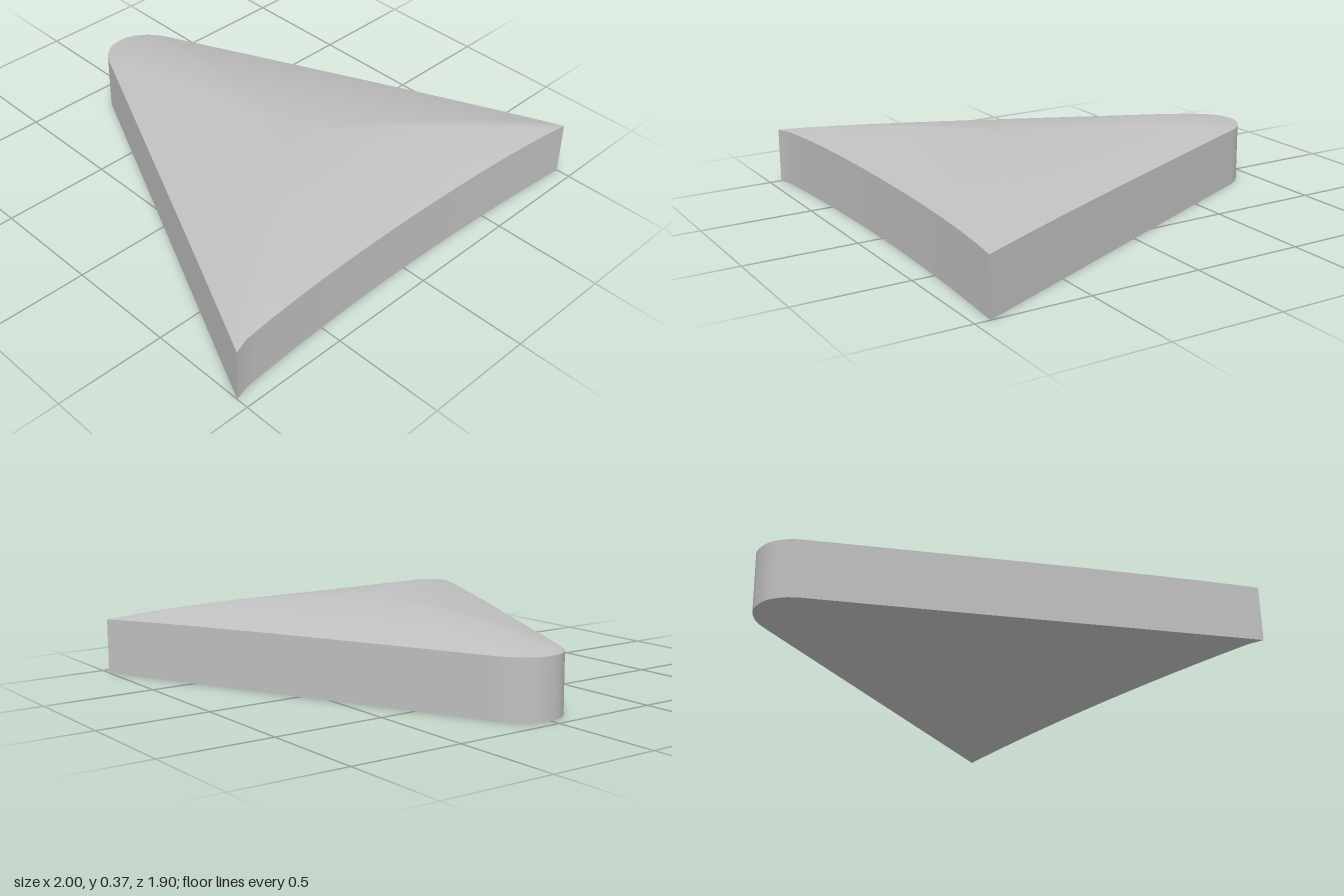
import * as THREE from 'three';
import { mergeVertices } from 'three/addons/utils/BufferGeometryUtils.js';

const PEAK = 0.365, CENTRE_Z = 0.25, RINGS = 24;
const v2 = (x, z) => new THREE.Vector2(x, z);

// Height of the rim, dipping slightly towards the wing tips
const rimHeight = (x) => 0.264 - 0.014 * Math.pow(Math.abs(x), 5);

// Smooth surface through equal-length rows of points
function loft(rows) {
  const n = rows[0].length, index = [];
  for (let r = 0; r < rows.length - 1; r++) {
    for (let i = 0; i < n - 1; i++) {
      const a = r * n + i, b = a + n;
      index.push(a, a + 1, b + 1, a, b + 1, b);
    }
  }
  const geometry = new THREE.BufferGeometry().setFromPoints(rows.flat());
  geometry.setIndex(index);
  const merged = mergeVertices(geometry, 1e-5);
  merged.computeVertexNormals();
  return merged;
}

// Vertical wall below a stretch of the outline
const wall = (points) => loft([
  points.map((p) => new THREE.Vector3(p.x, 0, p.y)),
  points.map((p) => new THREE.Vector3(p.x, rimHeight(p.x), p.y)),
]);

export function createModel() {
  const grey = new THREE.MeshStandardMaterial({ color: 0xc0c0c0 });
  grey.name = 'light grey';
  const group = new THREE.Group();
  group.name = 'domedTriangle';
  const add = (name, geometry) => {
    const mesh = new THREE.Mesh(geometry, grey);
    mesh.name = name;
    group.add(mesh);
  };

  // Outline in x and z: right edge, rounded nose, left edge, then the hollow front edge
  const tipR = v2(1, 0.935), tipL = v2(-1, 0.945);
  const noseR = v2(0.187, -0.81), noseL = v2(-0.172, -0.81);
  const nose = new THREE.SplineCurve([
    noseR, v2(0.162, -0.856), v2(0.122, -0.902), v2(0.062, -0.942), v2(0, -0.952),
    v2(-0.06, -0.942), v2(-0.117, -0.902), v2(-0.15, -0.856), noseL,
  ]);
  const front = new THREE.QuadraticBezierCurve(v2(-0.93, 0.925), v2(0, 0.852), tipR);
  const sides = [
    ...new THREE.LineCurve(tipR, noseR).getPoints(30),
    ...nose.getPoints(32).slice(1),
    ...new THREE.LineCurve(noseL, tipL).getPoints(30).slice(1),
  ];
  const frontEdge = [tipL, ...front.getPoints(36)];
  const outline = [...sides, ...frontEdge.slice(1)];

  // Walls
  add('sideWall', wall(sides));
  add('frontWall', wall(frontEdge));

  // Domed top: the outline shrinks towards the peak as it rises in a parabola
  const rings = [];
  for (let r = 0; r <= RINGS; r++) {
    const t = 1 - r / RINGS;
    rings.push(outline.map((p) => new THREE.Vector3(
      p.x * t,
      PEAK - (PEAK - rimHeight(p.x)) * t * t,
      CENTRE_Z + (p.y - CENTRE_Z) * t,
    )));
  }
  add('domedTop', loft(rings));

  // Flat underside
  const base = new THREE.ShapeGeometry(new THREE.Shape(outline.slice(0, -1)));
  base.rotateX(Math.PI / 2);
  add('underside', base);

  return group;
}
